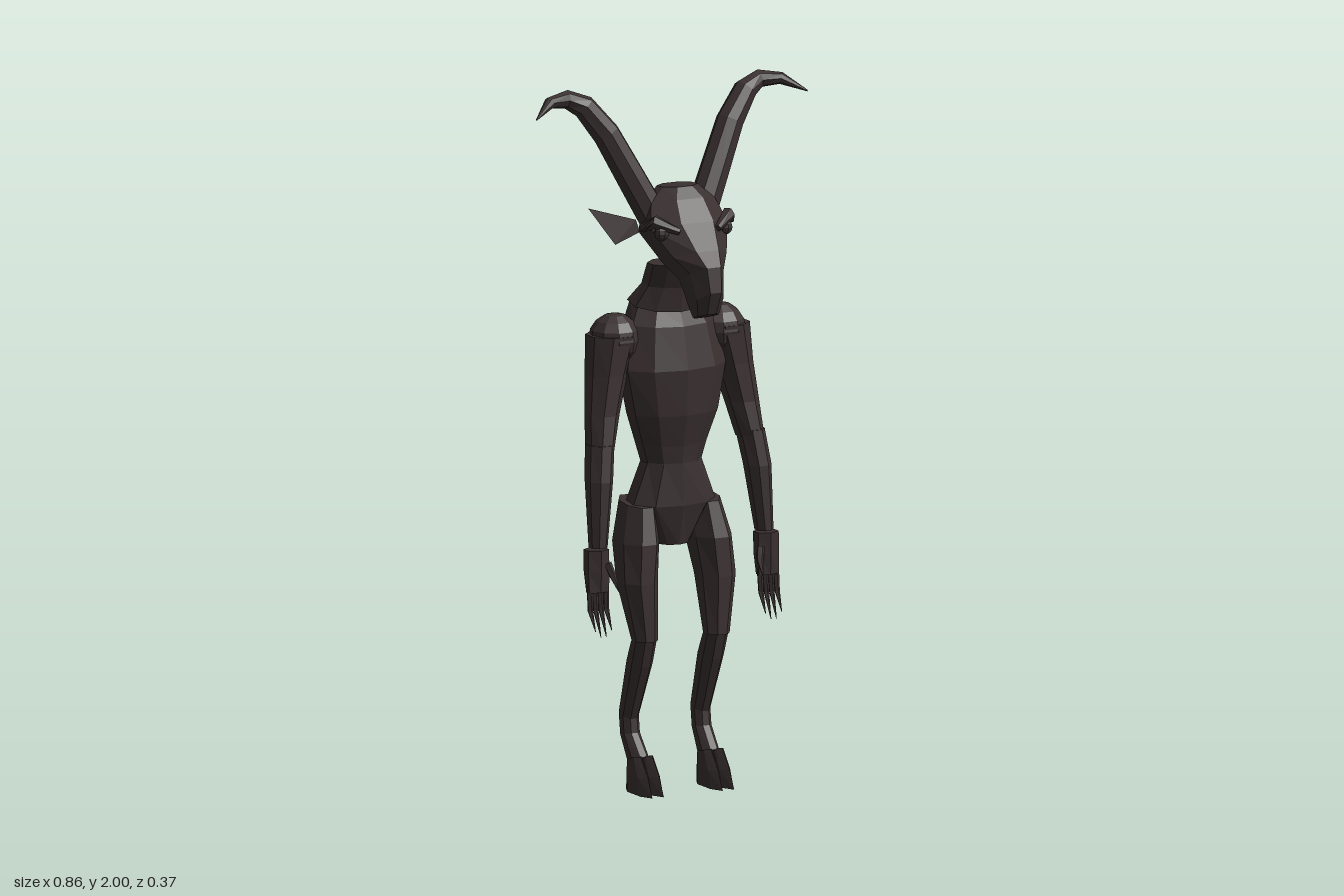
import * as THREE from 'three';
import { ConvexGeometry } from 'three/addons/geometries/ConvexGeometry.js';

// Skin a list of rings (arrays of Vector3) into a closed, faceted solid.
function skin(rings) {
  const pos = [];
  const tri = (...v) => v.forEach((p) => pos.push(p.x, p.y, p.z));
  const n = rings[0].length;
  const mid = (r) => r.reduce((s, p) => s.add(p), new THREE.Vector3()).divideScalar(n);
  const first = rings[0], last = rings[rings.length - 1];
  const a = mid(first), b = mid(last);
  for (let j = 0; j < n; j++) {
    const k = (j + 1) % n;
    for (let i = 0; i < rings.length - 1; i++) {
      const p = rings[i], q = rings[i + 1];
      tri(p[j], p[k], q[j]);
      tri(p[k], q[k], q[j]);
    }
    tri(a, first[k], first[j]);
    tri(b, last[j], last[k]);
  }
  const g = new THREE.BufferGeometry();
  g.setAttribute('position', new THREE.Float32BufferAttribute(pos, 3));
  g.computeVertexNormals();
  return g;
}

// Section: [centre x, half width, front y, front z, back y, back z], listed downwards.
function loft(sections, side = 1, n = 8) {
  const grow = 1 / Math.cos(Math.PI / n);
  return skin(sections.map(([cx, w, fy, fz, by, bz]) =>
    Array.from({ length: n }, (_, j) => {
      const t = ((j + 0.5) / n) * Math.PI * 2;
      const c = Math.cos(t) * grow, s = Math.sin(t) * grow;
      return new THREE.Vector3(side * cx + w * c,
        (fy + by) / 2 + ((fy - by) / 2) * s, (fz + bz) / 2 + ((fz - bz) / 2) * s);
    })));
}

// Tapered tube along points [x, y, z, radius].
function taper(points, side = 1, n = 6) {
  const c = points.map(([x, y, z]) => new THREE.Vector3(x * side, y, z));
  return skin(points.map((p, i) => {
    const dir = c[Math.min(i + 1, c.length - 1)].clone().sub(c[Math.max(i - 1, 0)]).normalize();
    const u = new THREE.Vector3(0, 0, 1).addScaledVector(dir, -dir.z).normalize();
    const v = dir.clone().cross(u);
    return Array.from({ length: n }, (_, j) => {
      const t = (j / n) * Math.PI * 2;
      return c[i].clone().addScaledVector(u, Math.cos(t) * p[3]).addScaledVector(v, Math.sin(t) * p[3]);
    });
  }));
}

export function createModel() {
  const model = new THREE.Group();
  model.name = 'hornedCreature';
  const hide = new THREE.MeshStandardMaterial({ color: 0x3a3030, flatShading: true });
  hide.name = 'darkHide';
  const add = (name, geometry) => {
    const mesh = new THREE.Mesh(geometry, hide);
    mesh.name = name;
    model.add(mesh);
    return mesh;
  };

  // Neck, chest, waist and pelvis
  add('neck', loft([
    [0, 0.085, 1.5, 0.02, 1.5, -0.1],
    [0, 0.085, 1.43, -0.01, 1.44, -0.135],
    [0, 0.115, 1.36, -0.02, 1.4, -0.175],
  ], 1, 10));
  add('torso', loft([
    [0, 0.1, 1.37, -0.03, 1.4, -0.18],
    [0, 0.13, 1.32, -0.005, 1.33, -0.175],
    [0, 0.155, 1.2, 0.02, 1.2, -0.165],
    [0, 0.13, 1.07, 0.015, 1.07, -0.155],
    [0, 0.1, 0.98, -0.005, 0.98, -0.15],
    [0, 0.085, 0.93, -0.01, 0.93, -0.145],
    [0, 0.13, 0.81, -0.005, 0.81, -0.16],
    [0, 0.05, 0.695, -0.03, 0.695, -0.14],
  ], 1, 10));

  // Long skull tapering into the muzzle
  add('head', loft([
    [0, 0.055, 1.72, 0.005, 1.715, -0.085],
    [0, 0.1, 1.69, 0.035, 1.65, -0.105],
    [0, 0.122, 1.63, 0.08, 1.58, -0.09],
    [0, 0.085, 1.56, 0.14, 1.5, -0.02],
    [0, 0.053, 1.52, 0.178, 1.45, 0.03],
    [0, 0.042, 1.45, 0.19, 1.375, 0.075],
    [0, 0.033, 1.385, 0.165, 1.362, 0.095],
  ]));

  // The single pointed ear
  add('rightEar', new ConvexGeometry([
    [-0.255, 1.665, -0.09], [-0.12, 1.625, -0.06], [-0.11, 1.59, -0.055],
    [-0.185, 1.56, -0.06], [-0.16, 1.6, -0.095],
  ].map((p) => new THREE.Vector3(...p))));

  for (const side of [1, -1]) {
    const s = side > 0 ? 'left' : 'right';

    // Horns sweep up and out, then hook down at the tips
    add(s + 'Horn', taper([
      [0.075, 1.63, -0.04, 0.045], [0.13, 1.74, -0.065, 0.043], [0.195, 1.87, -0.095, 0.04],
      [0.255, 1.95, -0.115, 0.034], [0.305, 1.974, -0.127, 0.026],
      [0.365, 1.972, -0.11, 0.017], [0.428, 1.937, -0.07, 0.002],
    ], side, 8));
    add(s + 'Brow', taper([
      [0.14, 1.615, 0.012, 0.012], [0.115, 1.637, 0.045, 0.02], [0.06, 1.61, 0.088, 0.01],
    ], side));
    const eye = add(s + 'Eye', new THREE.SphereGeometry(0.022, 8, 6));
    eye.position.set(side * 0.1, 1.605, 0.055);

    // Arm: shoulder ball, upper arm, forearm
    const ball = add(s + 'Shoulder', new THREE.SphereGeometry(0.075, 10, 8));
    ball.position.set(side * 0.165, 1.283, -0.1);
    add(s + 'UpperArm', loft([
      [0.175, 0.07, 1.3, -0.03, 1.3, -0.165],
      [0.198, 0.055, 1.19, -0.03, 1.19, -0.15],
      [0.22, 0.045, 1.08, -0.025, 1.08, -0.12],
      [0.237, 0.036, 0.98, -0.01, 0.98, -0.1],
    ], side));
    add(s + 'Forearm', loft([
      [0.237, 0.037, 1.0, -0.01, 1.0, -0.1],
      [0.25, 0.036, 0.9, 0.005, 0.9, -0.075],
      [0.262, 0.024, 0.715, 0.01, 0.715, -0.045],
    ], side));

    // Hand with four clawed fingers and a thumb
    add(s + 'Palm', loft([
      [0.268, 0.032, 0.71, 0.01, 0.71, -0.045],
      [0.268, 0.033, 0.65, 0.01, 0.65, -0.04],
      [0.268, 0.031, 0.59, 0.008, 0.59, -0.025],
    ], side, 6));
    for (let i = 0; i < 4; i++) {
      const x = 0.243 + i * 0.017;
      add(s + 'Finger' + (i + 1), taper([
        [x, 0.61, -0.008, 0.009], [x + 0.001, 0.54, -0.002, 0.008],
        [x, i === 0 || i === 3 ? 0.485 : 0.468, 0.028, 0.001],
      ], side, 5));
    }
    add(s + 'Thumb', taper([
      [0.242, 0.67, 0, 0.012], [0.232, 0.635, 0.015, 0.01], [0.228, 0.595, 0.042, 0.001],
    ], side, 5));

    // Leg: thigh, backward-slanting shin, pastern
    add(s + 'Thigh', loft([
      [0.103, 0.042, 0.81, -0.02, 0.825, -0.155],
      [0.114, 0.056, 0.71, 0.01, 0.71, -0.155],
      [0.123, 0.052, 0.6, 0.015, 0.6, -0.11],
      [0.113, 0.034, 0.435, 0.015, 0.435, -0.055],
    ], side));
    add(s + 'Shin', loft([
      [0.113, 0.033, 0.44, 0.01, 0.43, -0.06],
      [0.112, 0.033, 0.36, -0.015, 0.38, -0.09],
      [0.113, 0.025, 0.2, -0.085, 0.22, -0.145],
      [0.113, 0.025, 0.16, -0.08, 0.15, -0.135],
      [0.111, 0.027, 0.1, -0.03, 0.07, -0.09],
    ], side));

    // Cloven hoof
    for (const toe of [-1, 1]) {
      const x = 0.111 + toe * 0.018;
      add(s + (toe < 0 ? 'Inner' : 'Outer') + 'Hoof', loft([
        [x, 0.013, 0.105, -0.02, 0.09, -0.085],
        [x, 0.017, 0.05, 0.022, 0.05, -0.09],
        [x, 0.018, 0, 0.045, 0, -0.09],
      ], side, 6));
    }
  }
  return model;
}
